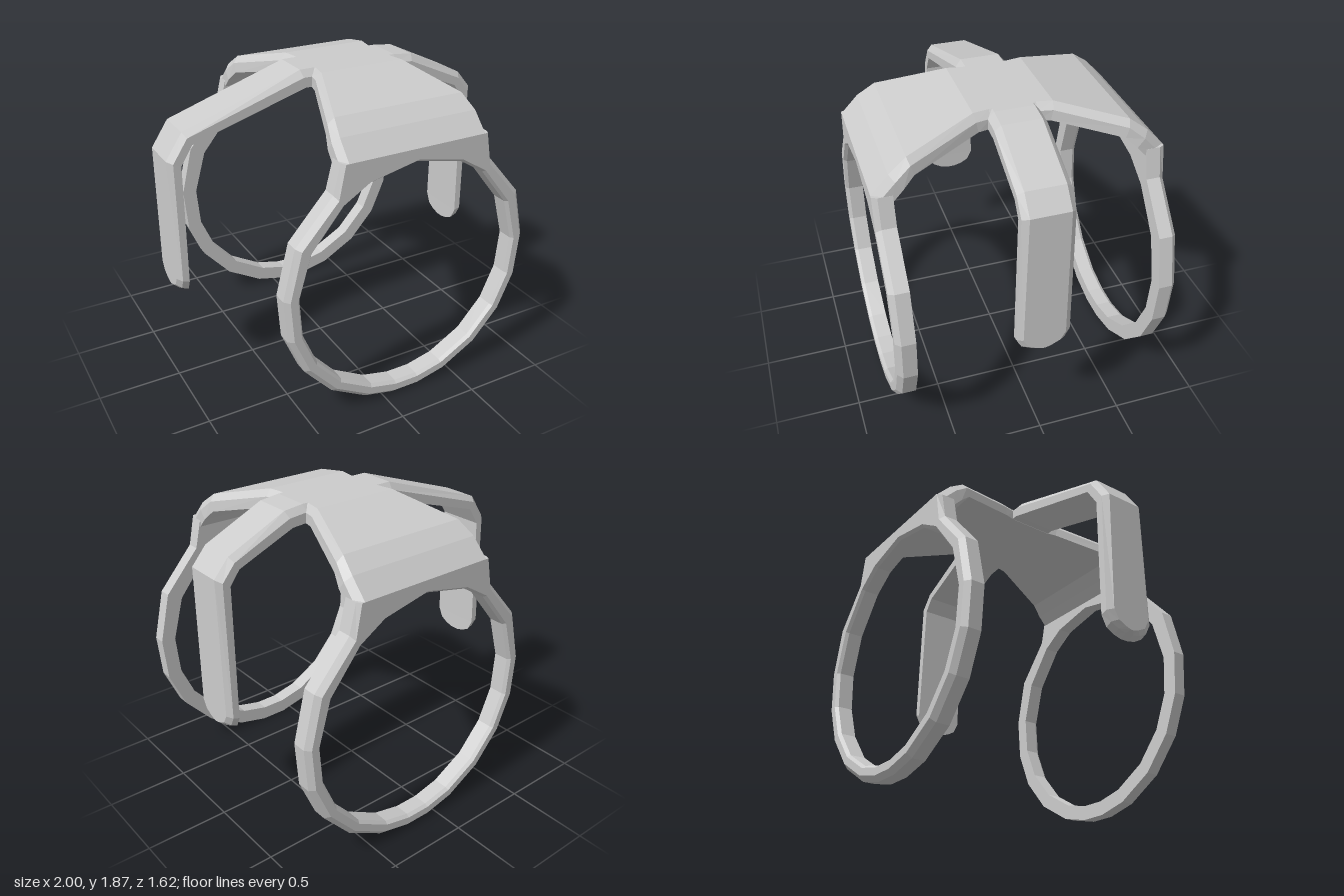
import * as THREE from 'three';

const CX = 0.15; // axis of the rings and the wide strap

// Skins a list of equal-length cross-sections, closed into a loop or capped at both ends.
function skin(name, sections, loop = false) {
  const pos = [];
  const tri = (...pts) => pts.forEach((p) => pos.push(p.x, p.y, p.z));
  const n = sections[0].length;
  const rows = loop ? [...sections, sections[0]] : sections;
  for (let s = 0; s < rows.length - 1; s++) {
    for (let i = 0; i < n; i++) {
      const j = (i + 1) % n, a = rows[s], b = rows[s + 1];
      tri(a[i], b[i], b[j]);
      tri(a[i], b[j], a[j]);
    }
  }
  if (!loop) {
    const a = rows[0], b = rows[rows.length - 1];
    for (let i = 1; i < n - 1; i++) {
      tri(a[0], a[i], a[i + 1]);
      tri(b[0], b[i + 1], b[i]);
    }
  }
  const geo = new THREE.BufferGeometry();
  geo.setAttribute('position', new THREE.Float32BufferAttribute(pos, 3));
  geo.computeVertexNormals();
  const mesh = new THREE.Mesh(geo, new THREE.MeshStandardMaterial({ color: 0xcccccc, flatShading: true }));
  mesh.name = name;
  return mesh;
}

// Bent strip with chamfered outer edges.
// Station: [outer u, outer y, inner u, inner y, half width]; place maps (u, y, w) to a point.
function strip(name, stations, place) {
  const chamfer = 0.033;
  return skin(name, stations.map(([ou, oy, iu, iy, hw]) => {
    const top = Math.max(hw - chamfer, 0.01);
    const mu = ou + (iu - ou) * 0.4, my = oy + (iy - oy) * 0.4;
    return [
      place(ou, oy, -top), place(ou, oy, top), place(mu, my, hw),
      place(iu, iy, hw), place(iu, iy, -hw), place(mu, my, -hw),
    ];
  }));
}

// Hanging ring whose top widens into a shoulder under the strap.
function ring(name) {
  const R = 0.8, hole = 0.71, cy = 0.8;
  const half = [[66, 0], [51, 0.797], [27, 0.812], [5, R], [-14, R], [-32, R], [-51, R], [-70, R], [-84, R]];
  const right = half.map(([deg, r]) => {
    const a = THREE.MathUtils.degToRad(deg);
    return r ? [a, r * Math.cos(a), r * Math.sin(a)] : [a, 0.46, 0.79];
  });
  const left = right.map(([a, x, y]) => [Math.PI - a, -x, y]);
  // counter-clockwise from the bottom right
  const stations = [...right.slice().reverse(), [Math.PI / 2, 0, 0.79], ...left];
  const sections = stations.map(([a, x, y]) => {
    const k = 1 - 0.03 / Math.hypot(x, y);
    const insetY = y > 0.78 ? y : y * k;
    const h = (r, z) => new THREE.Vector3(r * Math.cos(a), cy + r * Math.sin(a), z);
    return [
      new THREE.Vector3(x, cy + y, 0.7), new THREE.Vector3(x, cy + y, 0.78),
      new THREE.Vector3(x * k, cy + insetY, 0.81),
      h(hole + 0.015, 0.81), h(hole, 0.79), h(hole, 0.7),
    ];
  });
  return skin(name, sections, true);
}

export function createModel() {
  const model = new THREE.Group();
  model.name = 'bracket';

  // Strap running front to back, flaring towards each ring
  const halfStrap = [
    [0.13, 1.87, 0.13, 1.77, 0.28],
    [0.22, 1.87, 0.2, 1.77, 0.295],
    [0.61, 1.768, 0.58, 1.672, 0.435],
    [0.71, 1.695, 0.645, 1.61, 0.458],
    [0.81, 1.59, 0.7, 1.55, 0.46],
  ];
  const backHalf = halfStrap.map(([ou, oy, iu, iy, w]) => [-ou, oy, -iu, iy, w]).reverse();
  model.add(strip('strap', [...backHalf, ...halfStrap], (z, y, w) => new THREE.Vector3(CX + w, y, z)));

  // Rounded tip shared by both side arms
  const tip = [
    [1, 0.76, 0.935, 0.74, 0.156],
    [1, 0.705, 0.935, 0.675, 0.125],
    [1, 0.68, 0.935, 0.648, 0.075],
    [1, 0.67, 0.935, 0.635, 0.025],
  ];

  // Left arm (+x), shorter slope
  model.add(strip('leftArm', [
    [0.39, 1.87, 0.39, 1.772, 0.145],
    [0.43, 1.87, 0.42, 1.772, 0.145],
    [0.55, 1.857, 0.52, 1.765, 0.145],
    [0.91, 1.69, 0.865, 1.62, 0.145],
    [1, 1.585, 0.925, 1.54, 0.145],
    ...tip,
  ], (x, y, w) => new THREE.Vector3(x, y, -w)));

  // Right arm (-x), longer slope
  model.add(strip('rightArm', [
    [0.09, 1.87, 0.09, 1.772, 0.145],
    [0.19, 1.87, 0.17, 1.772, 0.145],
    [0.9, 1.635, 0.855, 1.565, 0.145],
    [1, 1.485, 0.925, 1.455, 0.145],
    ...tip,
  ], (x, y, w) => new THREE.Vector3(-x, y, w)));

  // Front and back rings
  for (const [name, turn] of [['frontRing', 0], ['backRing', Math.PI]]) {
    const r = ring(name);
    r.position.x = CX;
    r.rotation.y = turn;
    model.add(r);
  }
  return model;
}
